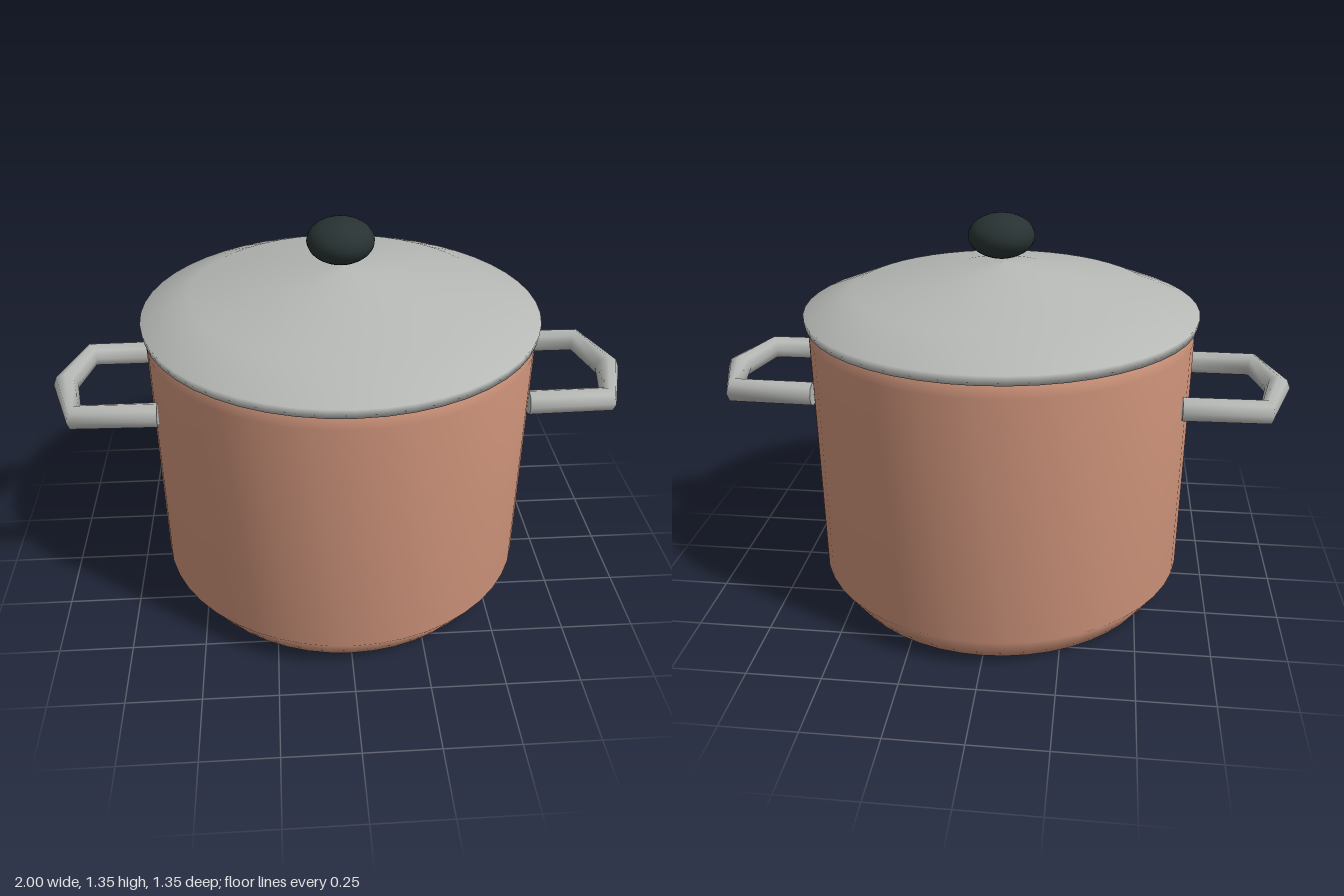
import * as THREE from 'three';

const copper = new THREE.MeshStandardMaterial({ name: 'copper', color: 0xcf947b });
const steel = new THREE.MeshStandardMaterial({ name: 'steel', color: 0xb6b8b5 });
const black = new THREE.MeshStandardMaterial({ name: 'black', color: 0x283232 });

// Handle centre line: five stations, each with its own ring direction
class HandlePath extends THREE.Curve {
  stations = [
    [0.62, 0.225, 1, 0],
    [0.895, 0.221, 2, -1],
    [0.957, 0, 0, -1],
    [0.895, -0.221, -2, -1],
    [0.62, -0.225, -1, 0],
  ];
  station(u) { return this.stations[Math.round(u * 4)]; }
  getPointAt(u, target = new THREE.Vector3()) {
    const [x, z] = this.station(u);
    return target.set(x, 0, z);
  }
  getPoint(u, target) { return this.getPointAt(u, target); }
  getTangentAt(u, target = new THREE.Vector3()) {
    const [, , dx, dz] = this.station(u);
    return target.set(dx, 0, dz).normalize();
  }
}

function part(name, geometry, material, parent) {
  const mesh = new THREE.Mesh(geometry, material);
  mesh.name = name;
  parent.add(mesh);
  return mesh;
}

function lathe(profile) {
  return new THREE.LatheGeometry(profile.map(([r, y]) => new THREE.Vector2(r, y)), 48);
}

function createHandle(name) {
  const handle = new THREE.Group();
  handle.name = name;
  const radius = 0.0425;
  part('handleBar', new THREE.TubeGeometry(new HandlePath(), 4, radius, 8, false), steel, handle);
  // Flat ends against the pot wall
  for (const z of [0.225, -0.225]) {
    const cap = part('handleEnd', new THREE.CircleGeometry(radius, 8), steel, handle);
    cap.rotation.y = -Math.PI / 2;
    cap.position.set(0.62, 0, z);
  }
  handle.position.y = 0.768;
  return handle;
}

export function createModel() {
  const model = new THREE.Group();
  model.name = 'cookingPot';

  // Pot body with chamfered base and shoulder
  part('potBody', lathe([[0, 0], [0.575, 0], [0.65, 0.105], [0.66, 0.955], [0.635, 1]]), copper, model);

  // Domed lid with a short rim
  part('lid', lathe([[0, 1], [0.668, 1], [0.674, 1.033], [0.51, 1.098], [0.17, 1.165], [0, 1.185]]), steel, model);

  // Lid knob
  const knob = part('lidKnob', new THREE.SphereGeometry(1, 24, 16), black, model);
  knob.scale.set(0.113, 0.075, 0.113);
  knob.position.y = 1.277;

  // Side handles
  const leftHandle = createHandle('leftHandle');
  const rightHandle = createHandle('rightHandle');
  rightHandle.rotation.y = Math.PI;
  model.add(leftHandle, rightHandle);

  return model;
}
